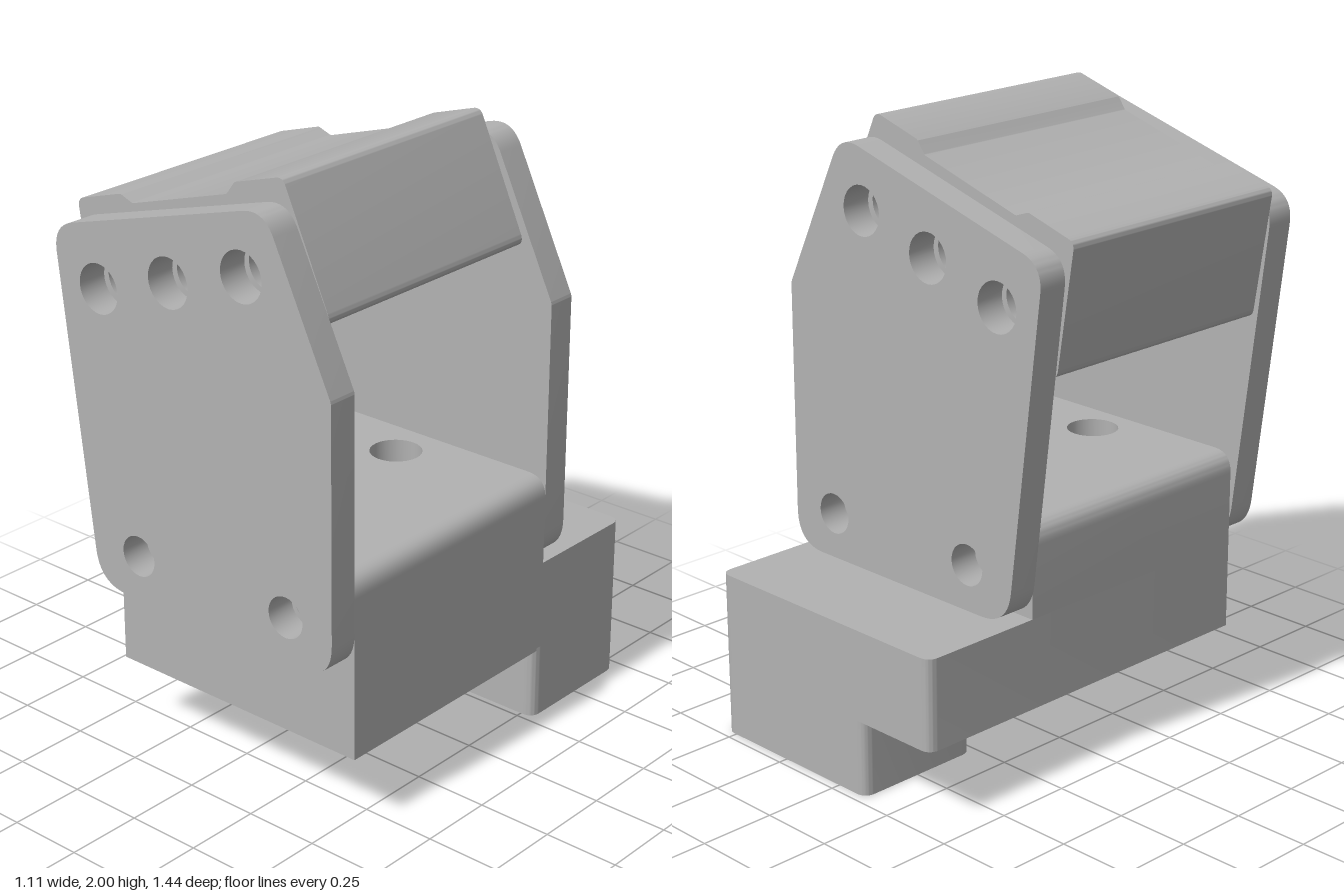
import * as THREE from 'three';
import { toCreasedNormals } from 'three/addons/utils/BufferGeometryUtils.js';

const metal = new THREE.MeshStandardMaterial({ color: 0xb2b2b2 });
metal.name = 'grey metal';

// Closed shape from [x, y, cornerRadius] points
function roundedShape(points) {
  const shape = new THREE.Shape();
  const n = points.length;
  points.forEach(([x, y, r = 0], i) => {
    const p = new THREE.Vector2(x, y);
    const toPrev = new THREE.Vector2(...points[(i + n - 1) % n].slice(0, 2)).sub(p).normalize();
    const toNext = new THREE.Vector2(...points[(i + 1) % n].slice(0, 2)).sub(p).normalize();
    const cut = r / Math.tan(toPrev.angleTo(toNext) / 2);
    const a = p.clone().addScaledVector(toPrev, cut);
    const b = p.clone().addScaledVector(toNext, cut);
    if (i === 0) shape.moveTo(a.x, a.y);
    else shape.lineTo(a.x, a.y);
    if (r > 0) shape.quadraticCurveTo(x, y, b.x, b.y);
  });
  shape.closePath();
  return shape;
}

function addHoles(shape, holes) {
  for (const [x, y, r] of holes) {
    shape.holes.push(new THREE.Path().absarc(x, y, r, 0, Math.PI * 2, true));
  }
  return shape;
}

function makeMesh(name, geometry) {
  const mesh = new THREE.Mesh(toCreasedNormals(geometry, 0.5), metal);
  mesh.name = name;
  return mesh;
}

// Extrude an x-y outline from z0 to z1
function extrudeZ(name, points, holes, z0, z1) {
  const geometry = new THREE.ExtrudeGeometry(addHoles(roundedShape(points), holes),
    { depth: z1 - z0, bevelEnabled: false, curveSegments: 14 });
  return makeMesh(name, geometry.translate(0, 0, z0));
}

// Extrude an x-z outline (listed as x, -z) from y0 to y1
function extrudeY(name, points, holes, y0, y1) {
  const geometry = new THREE.ExtrudeGeometry(addHoles(roundedShape(points), holes),
    { depth: y1 - y0, bevelEnabled: false, curveSegments: 14 });
  return makeMesh(name, geometry.rotateX(-Math.PI / 2).translate(0, y0, 0));
}

export function createModel() {
  const model = new THREE.Group();
  model.name = 'clampBracket';

  const pinHoles = [[-0.36, 1.545], [-0.07, 1.635], [0.22, 1.725]];
  const boltHoles = [[-0.23, 0.705], [0.375, 0.705]];

  // Two matching side plates
  const plate = [
    [-0.405, 0.555, 0.13], [0.555, 0.555, 0.12], [0.555, 1.435, 0.04],
    [0.31, 1.945, 0.1], [-0.545, 1.705, 0.1],
  ];
  const plateHoles = [
    ...pinHoles.map(([x, y]) => [x, y, 0.08]),
    ...boltHoles.map(([x, y]) => [x, y, 0.067]),
  ];
  model.add(extrudeZ('frontPlate', plate, plateHoles, 0.62, 0.72));
  model.add(extrudeZ('backPlate', plate, plateHoles, -0.39, -0.29));

  // Tilted upper block, grooved above and below
  const tilt = 0.289, cx = -0.14, cy = 1.878;
  const half = [
    [0.25, -0.395, 0.02], [0.29, -0.43, 0.02], [0.494, -0.43, 0.03],
    [0.435, 0, 0.03], [0.243, 0, 0.02], [0.2, -0.032, 0.02],
  ];
  const profile = [...half, ...half.map(([x, y, r]) => [-x, y, r]).reverse()];
  const toLocal = ([x, y]) => {
    const v = new THREE.Vector2(x - cx, y - cy).rotateAround(new THREE.Vector2(), -tilt);
    return [v.x, v.y, 0.076];
  };
  const block = extrudeZ('upperBlock', profile, pinHoles.map(toLocal), -0.275, 0.605);
  block.position.set(cx, cy, 0);
  block.rotation.z = tilt;
  model.add(block);

  // Upper base: drilled side columns with rounded top edges, and a core between
  const top = 0.855, mid = 0.55;
  const coreLeft = -0.06, coreRight = 0.2;
  model.add(extrudeZ('baseColumnRight',
    [[-0.41, mid], [coreLeft, mid], [coreLeft, top], [-0.41, top, 0.07]],
    [[...boltHoles[0], 0.052]], -0.29, 0.62));
  model.add(extrudeZ('baseColumnLeft',
    [[coreRight, mid], [0.555, mid], [0.555, top, 0.07], [coreRight, top]],
    [[...boltHoles[1], 0.052]], -0.29, 0.62));
  model.add(extrudeY('baseCore',
    [[coreLeft, -0.62], [coreRight, -0.62], [coreRight, 0.29], [coreLeft, 0.29]],
    [[0.07, -0.48, 0.085], [0.07, 0.14, 0.085]], mid, top));

  // Lower base slab reaching out behind the back plate
  model.add(extrudeY('baseSlab',
    [[-0.41, -0.62], [0.555, -0.62], [0.555, 0.27], [0.545, 0.28],
      [0.545, 0.72, 0.04], [-0.41, 0.72, 0.04]],
    [[0.07, -0.48, 0.05]], 0.25, mid));

  // Foot with a blind hole underneath
  model.add(extrudeY('foot',
    [[-0.12, -0.27, 0.04], [0.545, -0.27, 0.04], [0.545, 0.72, 0.04], [-0.12, 0.72, 0.04]]
      .map(([x, y, r]) => [x, y < 0 ? 0.27 : y, r]),
    [[0.385, 0.54, 0.05]], 0, 0.25));

  return model;
}
